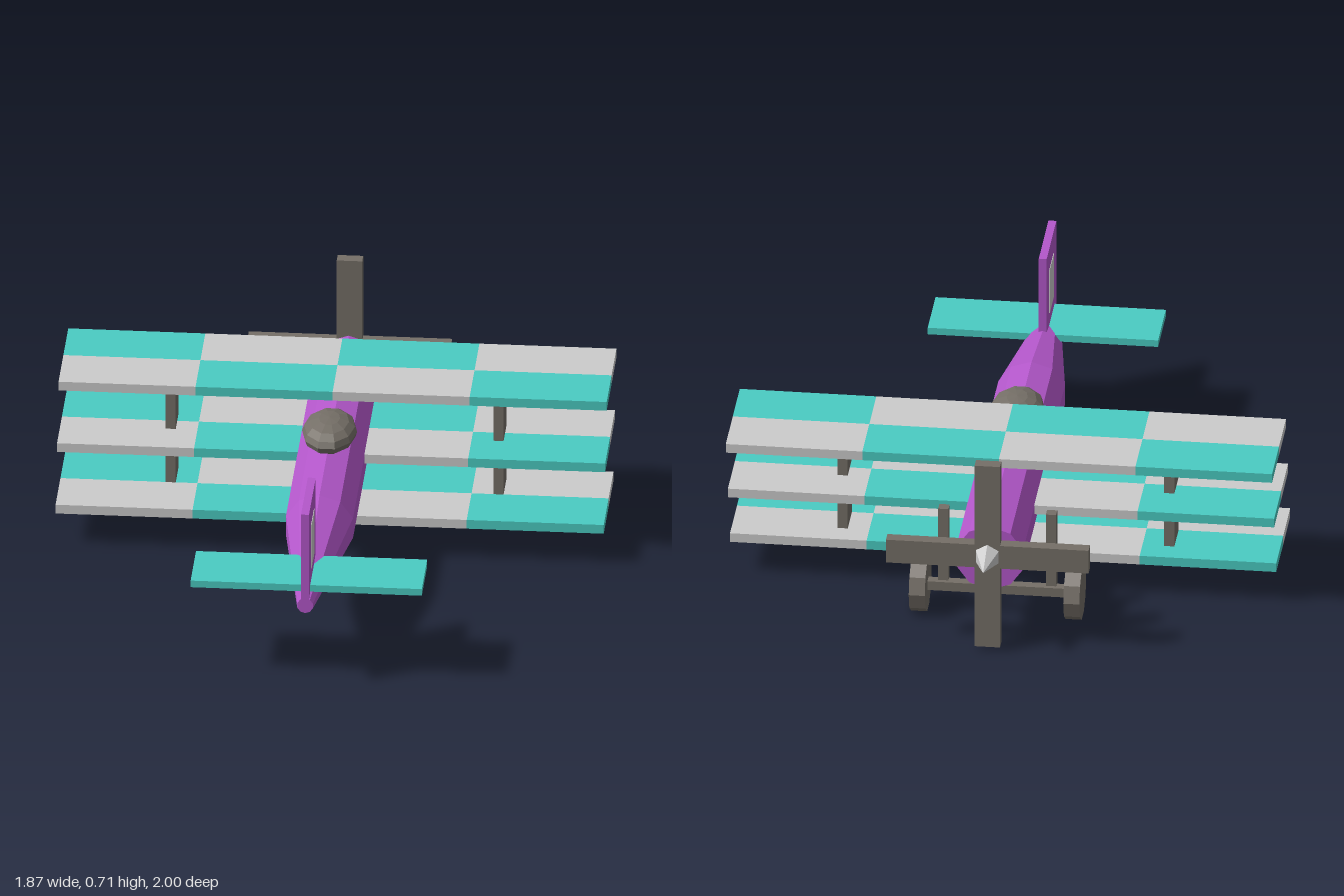
import * as THREE from 'three';

const material = (color) => new THREE.MeshStandardMaterial({ color, flatShading: true });

export function createModel() {
  const model = new THREE.Group();
  const grey = material(0xcccccc);
  const teal = material(0x4accc3);
  const purple = material(0xb457cb);
  const brown = material(0x756f67);

  const add = (name, geometry, mat, x, y, z, parent = model) => {
    const mesh = new THREE.Mesh(geometry, mat);
    mesh.name = name;
    mesh.position.set(x, y, z);
    parent.add(mesh);
    return mesh;
  };
  const box = (name, mat, w, h, d, x, y, z, parent) =>
    add(name, new THREE.BoxGeometry(w, h, d), mat, x, y, z, parent);

  // Ten-sided fuselage with a tapering tail, nose towards -z
  const profile = [[0, -0.807], [0.12, -0.807], [0.12, 0.4], [0.028, 0.997], [0, 0.997]]
    .map(([r, z]) => new THREE.Vector2(r, z));
  add('fuselage', new THREE.LatheGeometry(profile, 10).rotateX(Math.PI / 2), purple, 0, 0.319, 0);

  // Cockpit canopy
  add('canopy', new THREE.SphereGeometry(1, 10, 8).scale(0.094, 0.054, 0.143), brown, 0, 0.474, -0.016);

  // Three staggered wings, each a checkerboard of 4 x 2 panels
  const panelW = 0.4665, panelD = 0.202;
  [['topWing', 0.544, -0.342], ['middleWing', 0.341, -0.281], ['bottomWing', 0.138, -0.22]]
    .forEach(([name, y, z]) => {
      const wing = new THREE.Group();
      wing.name = name;
      wing.position.set(0, y, z);
      for (let i = 0; i < 4; i++) {
        for (let j = 0; j < 2; j++) {
          box('wingPanel', (i + j) % 2 ? grey : teal, panelW, 0.033, panelD,
            (i - 1.5) * panelW, 0, (j - 0.5) * panelD, wing);
        }
      }
      model.add(wing);
    });

  // Wing struts, landing gear legs and wheels on both sides
  for (const side of [-1, 1]) {
    box('wingStrut', brown, 0.035, 0.405, 0.121, side * 0.558, 0.341, -0.28);
    box('gearLeg', brown, 0.035, 0.303, 0.035, side * 0.184, 0.233, -0.577);
    add('wheel', new THREE.CylinderGeometry(0.099, 0.099, 0.055, 10).rotateZ(Math.PI / 2),
      brown, side * 0.264, 0.0945, -0.586);
  }
  box('axle', brown, 0.5, 0.033, 0.035, 0, 0.095, -0.592);

  // Propeller with crossed blades and a pointed spinner
  box('verticalBlade', brown, 0.087, 0.692, 0.042, 0, 0.362, -0.858);
  box('horizontalBlade', brown, 0.692, 0.087, 0.042, 0, 0.362, -0.858);
  add('spinner', new THREE.ConeGeometry(0.058, 0.155, 6).rotateX(-Math.PI / 2), grey, 0, 0.362, -0.9225);

  // Tail fin with an inset-coloured panel, and the tailplane
  box('tailFin', purple, 0.027, 0.35, 0.28, 0, 0.491, 0.86);
  box('finPanel', grey, 0.031, 0.166, 0.122, 0, 0.503, 0.855);
  box('tailplane', teal, 0.787, 0.025, 0.224, 0, 0.362, 0.838);

  return model;
}
